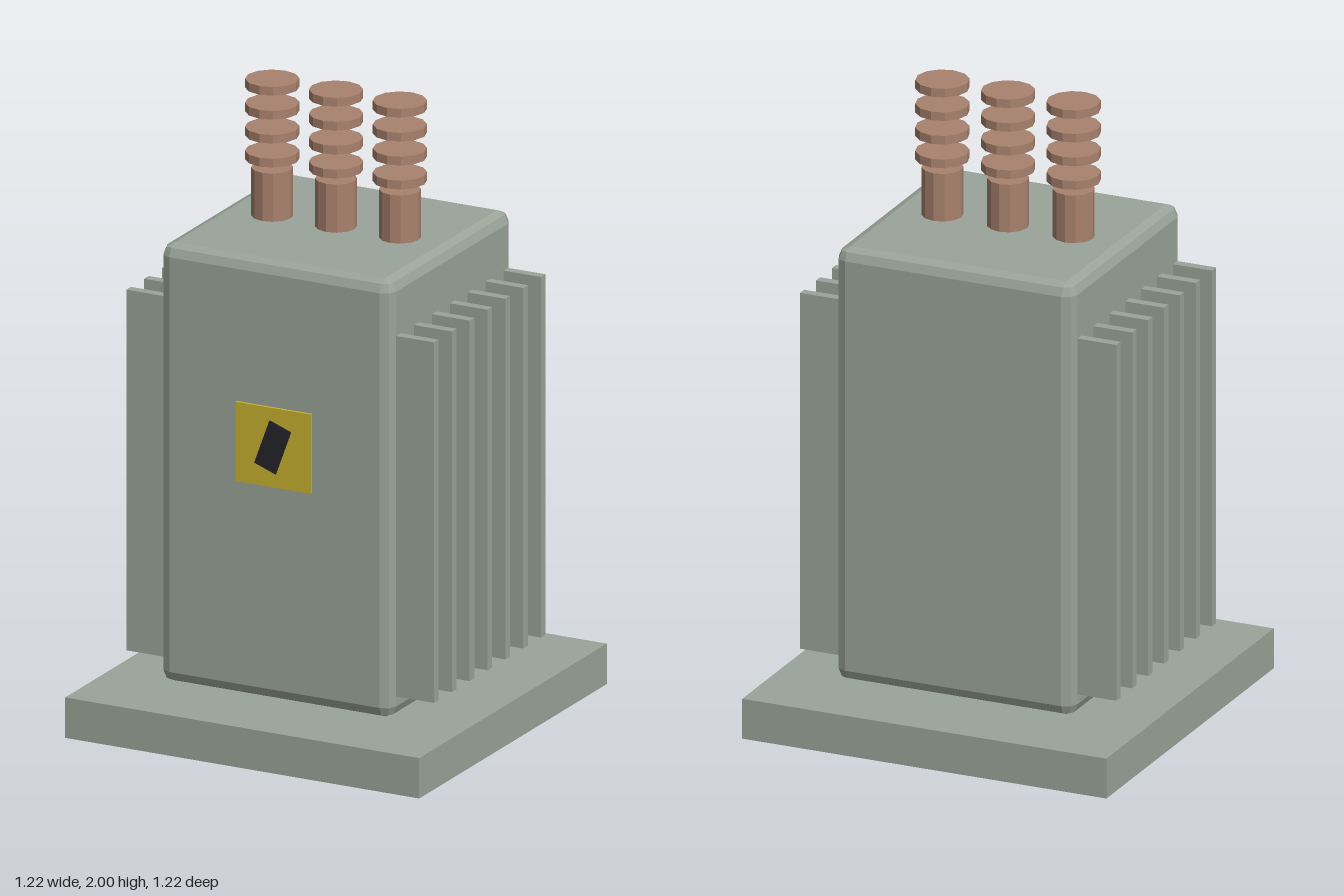
import * as THREE from 'three';
import { ConvexGeometry } from 'three/addons/geometries/ConvexGeometry.js';

const material = (name, color, flatShading = false) => {
  const m = new THREE.MeshStandardMaterial({ color, flatShading });
  m.name = name;
  return m;
};

// Box with every edge rounded in two flat steps
function bevelledBox(w, h, d, r) {
  const points = [];
  const angles = [0, Math.PI / 4, Math.PI / 2];
  for (const sx of [-1, 1]) for (const sy of [-1, 1]) for (const sz of [-1, 1])
    for (const a of angles) for (const b of angles) {
      points.push(new THREE.Vector3(
        sx * (w / 2 - r + r * Math.cos(a) * Math.cos(b)),
        sy * (h / 2 - r + r * Math.sin(a)),
        sz * (d / 2 - r + r * Math.cos(a) * Math.sin(b))));
      if (a === Math.PI / 2) break;
    }
  return new ConvexGeometry(points);
}

export function createModel() {
  const model = new THREE.Group();
  model.name = 'transformer';
  const steel = material('greyGreenSteel', 0x9aa499);
  const ceramic = material('brownCeramic', 0xa9826e, true);
  const yellow = material('warningYellow', 0xc8b22f);
  const black = material('signBlack', 0x25252b);

  const add = (name, geometry, mat, x, y, z, parent = model) => {
    const mesh = new THREE.Mesh(geometry, mat);
    mesh.name = name;
    mesh.position.set(x, y, z);
    parent.add(mesh);
    return mesh;
  };

  // Plinth and tank
  add('basePlinth', new THREE.BoxGeometry(1.22, 0.13, 1.22), steel, 0, 0.065, 0);
  add('tank', bevelledBox(0.8, 1.41, 0.8, 0.038), steel, 0, 0.855, 0);

  // Cooling fins on both sides
  const fin = new THREE.BoxGeometry(0.15, 1.16, 0.03);
  for (const side of [-1, 1])
    for (let i = -3; i <= 3; i++)
      add('coolingFin', fin, steel, side * 0.455, 0.8, i * 0.116);

  // Three bushings, each a post with four discs above
  const post = new THREE.CylinderGeometry(0.064, 0.064, 0.175, 12);
  const disc = new THREE.CylinderGeometry(0.083, 0.083, 0.028, 12);
  for (const x of [-0.22, 0, 0.22]) {
    const bushing = new THREE.Group();
    bushing.name = 'bushing';
    bushing.position.x = x;
    model.add(bushing);
    add('bushingPost', post, ceramic, 0, 1.6275, 0, bushing);
    for (let i = 0; i < 4; i++)
      add('bushingDisc', disc, ceramic, 0, 1.755 + i * 0.077, 0, bushing);
  }

  // Warning sign with a tilted mark
  add('warningPlate', new THREE.BoxGeometry(0.26, 0.255, 0.0095), yellow, 0, 0.97, 0.4045);
  const mark = add('warningMark', new THREE.BoxGeometry(0.078, 0.152, 0.006), black, 0, 0.972, 0.411);
  mark.rotation.z = -0.35;

  return model;
}
